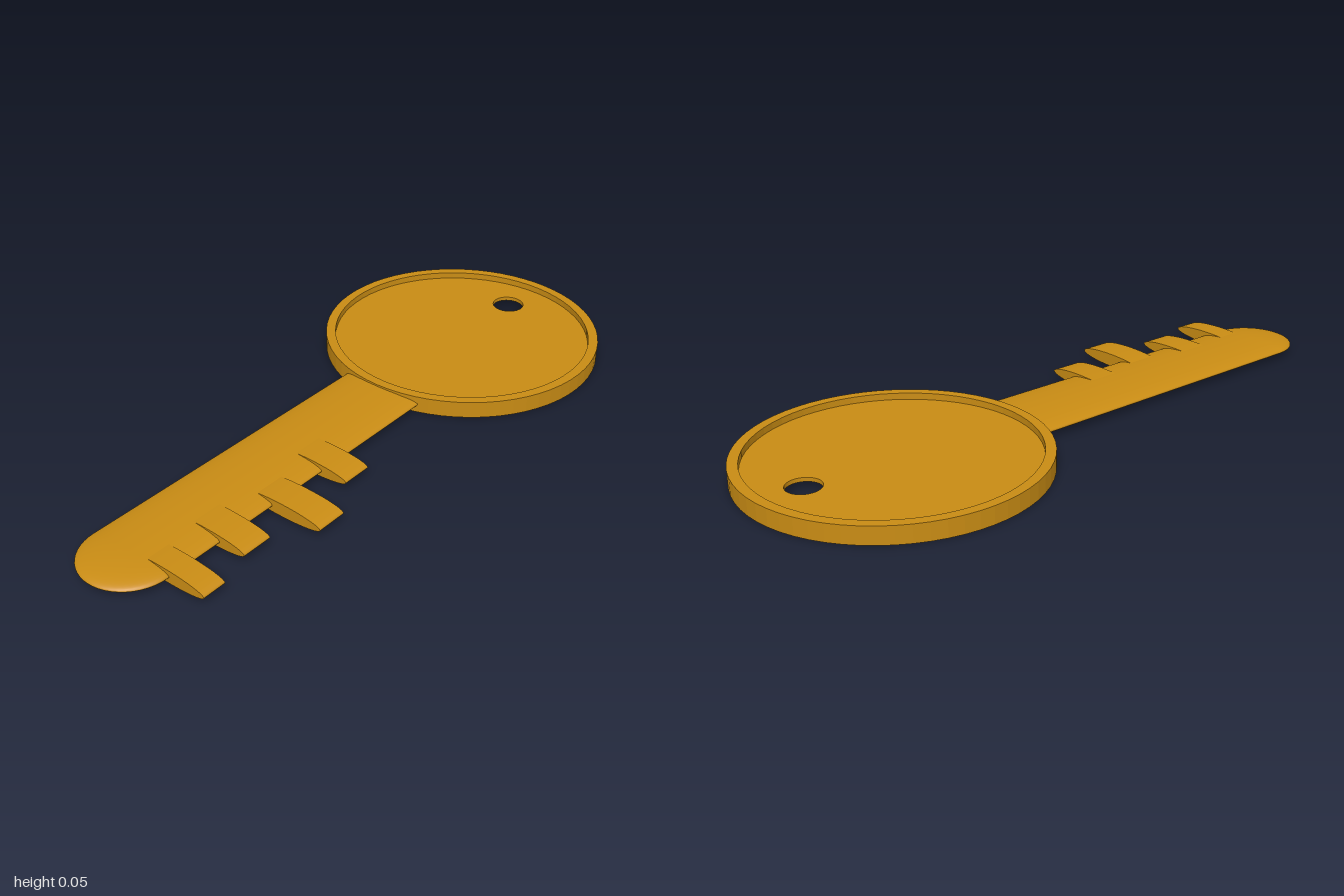
import * as THREE from 'three';

const HEIGHT = 0.052, MID = HEIGHT / 2;
const BOW_Z = -0.565, BOW_R = 0.435, RIM_R = 0.405;
const BLADE_R = 0.136, FLATTEN = 0.15;

export function createModel() {
  const key = new THREE.Group();
  key.name = 'key';
  const brass = new THREE.MeshStandardMaterial({ color: 0xc98c14 });

  const add = (name, geometry, x, y, z) => {
    const mesh = new THREE.Mesh(geometry, brass);
    mesh.name = name;
    mesh.position.set(x, y, z);
    key.add(mesh);
  };

  // Flat disc lying in the ground plane with one round hole
  const disc = (radius, holeY, holeR, depth) => {
    const shape = new THREE.Shape().absarc(0, 0, radius, 0, Math.PI * 2);
    shape.holes.push(new THREE.Path().absarc(0, holeY, holeR, 0, Math.PI * 2, true));
    return new THREE.ExtrudeGeometry(shape, { depth, bevelEnabled: false, curveSegments: 32 })
      .rotateX(-Math.PI / 2);
  };

  // Round bow: raised rim and a thin recessed plate with the ring hole
  add('bowRim', disc(BOW_R, 0, RIM_R, HEIGHT), 0, 0, BOW_Z);
  add('bowPlate', disc(RIM_R + 0.005, 0.275, 0.05, 0.012), 0, MID - 0.006, BOW_Z);

  // Flattened round blade with a domed tip
  const profile = [new THREE.Vector2(BLADE_R, -0.16)];
  for (let i = 0; i <= 12; i++) {
    const a = (i / 12) * Math.PI / 2;
    profile.push(new THREE.Vector2(BLADE_R * Math.cos(a), 1 - BLADE_R + BLADE_R * Math.sin(a)));
  }
  const blade = new THREE.LatheGeometry(profile, 48).rotateX(Math.PI / 2).scale(1, FLATTEN, 1);
  add('blade', blade, 0, MID, 0);

  // Teeth: short slices of the blade section pushed out to the left
  const teeth = [[0.19, 0.285, 0.222], [0.39, 0.485, 0.302], [0.587, 0.682, 0.222], [0.785, 0.858, 0.256]];
  for (const [z0, z1, reach] of teeth) {
    const tooth = new THREE.CylinderGeometry(BLADE_R, BLADE_R, z1 - z0, 48)
      .rotateX(Math.PI / 2).scale(1, FLATTEN, 1);
    add('tooth', tooth, reach - BLADE_R, MID, (z0 + z1) / 2);
  }
  return key;
}
